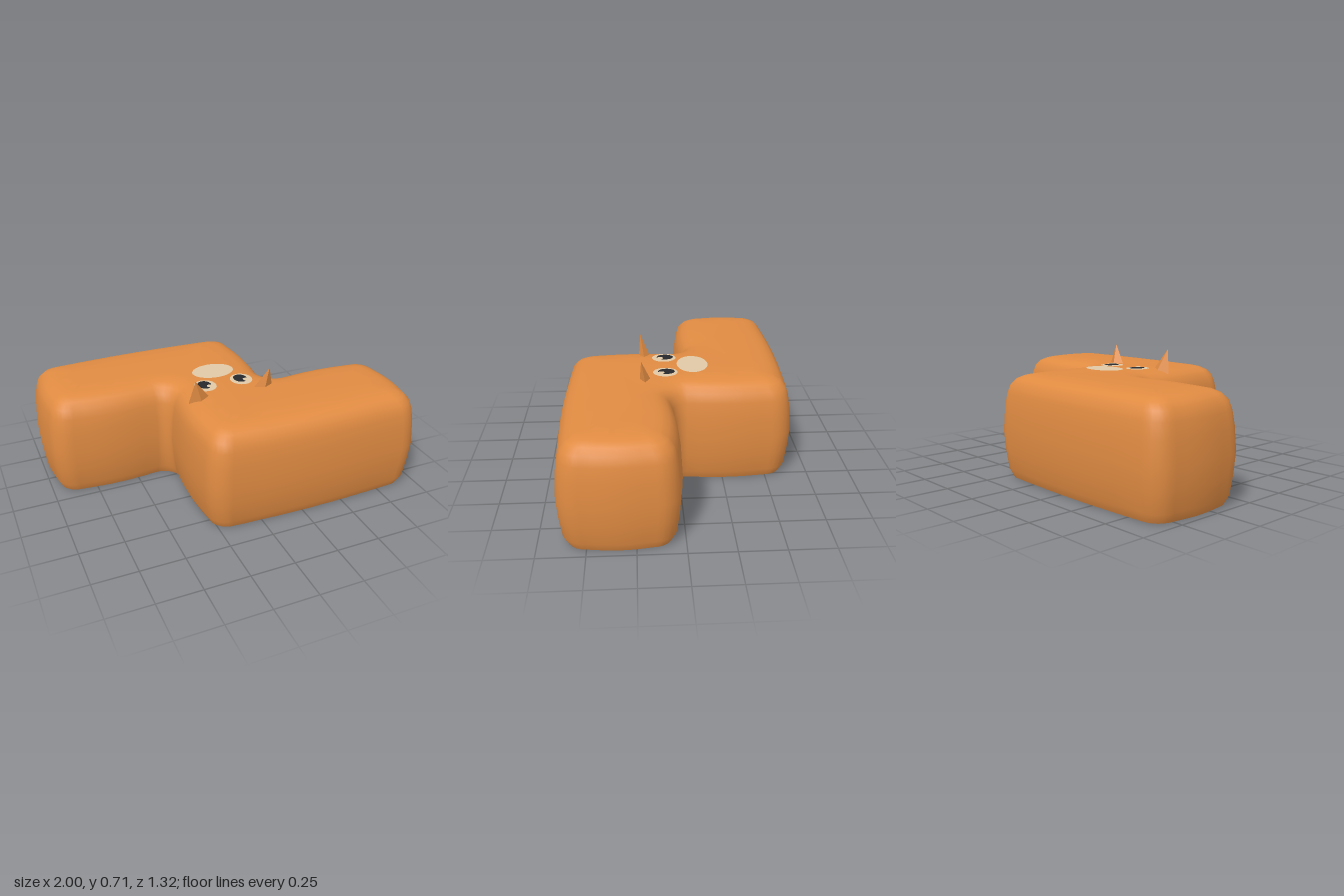
import * as THREE from 'three';

const fur = new THREE.MeshStandardMaterial({ color: 0xe08b42, side: THREE.DoubleSide });
fur.name = 'orange fur';
const cream = new THREE.MeshStandardMaterial({ color: 0xe0c8a6 });
cream.name = 'cream';
const black = new THREE.MeshStandardMaterial({ color: 0x26282b });
black.name = 'black';

// Stepped footprint as [x, z, concave]
const CORNERS = [
  [-0.985, -0.645], [0.31, -0.645], [0.31, 0.022, true], [0.985, 0.022],
  [0.985, 0.645], [-0.31, 0.645], [-0.31, -0.022, true], [-0.985, -0.022],
];
// Side profile as [inset, y]
const PROFILE = [
  [0.045, 0], [0.022, 0.05], [0.008, 0.16], [0, 0.27], [0.008, 0.4], [0.02, 0.48],
  [0.036, 0.53], [0.065, 0.563], [0.1, 0.58], [0.14, 0.589], [0.2, 0.596],
];
const ARC = 6, SIDE = 6, BULGE = 0.017;

// Footprint loop with rounded corners and gently bowed sides, moved inward by inset
function outline(inset) {
  const n = CORNERS.length;
  const dir = CORNERS.map((c, i) => {
    const e = CORNERS[(i + 1) % n];
    return new THREE.Vector2(e[0] - c[0], e[1] - c[1]).normalize();
  });
  const inward = (d) => new THREE.Vector2(-d.y, d.x);
  const arcs = CORNERS.map(([x, z, concave], i) => {
    const a = dir[(i + n - 1) % n], b = dir[i];
    const r = concave ? 0.065 + inset : Math.max(0.12 - inset * 0.5, 0.05);
    const centre = new THREE.Vector2(x, z)
      .addScaledVector(inward(a), inset).addScaledVector(inward(b), inset)
      .addScaledVector(a, -r).addScaledVector(b, r);
    return Array.from({ length: ARC + 1 }, (_, k) => {
      const t = (k / ARC) * Math.PI / 2;
      return centre.clone().addScaledVector(b, -r * Math.cos(t)).addScaledVector(a, r * Math.sin(t));
    });
  });
  const points = [];
  arcs.forEach((arc, i) => {
    points.push(...arc);
    const from = arc[ARC], to = arcs[(i + 1) % n][0];
    for (let k = 1; k < SIDE; k++) {
      const t = k / SIDE;
      points.push(from.clone().lerp(to, t).addScaledVector(inward(dir[i]), -BULGE * Math.sin(Math.PI * t)));
    }
  });
  return points;
}

// Body shell: stacked loops with a closed top and an open underside
function bodyGeometry() {
  const loops = PROFILE.map(([inset]) => outline(inset));
  const n = loops[0].length, position = [], index = [];
  loops.forEach((loop, k) => loop.forEach((p) => position.push(p.x, PROFILE[k][1], p.y)));
  for (let k = 0; k < loops.length - 1; k++) {
    for (let j = 0; j < n; j++) {
      const a = k * n + j, b = k * n + (j + 1) % n, c = b + n, d = a + n;
      index.push(a, d, c, a, c, b);
    }
  }
  const top = loops[loops.length - 1], base = (loops.length - 1) * n;
  for (const [a, b, c] of THREE.ShapeUtils.triangulateShape(top.slice(), [])) {
    const area = top[b].clone().sub(top[a]).cross(top[c].clone().sub(top[a]));
    if (area > 0) index.push(base + a, base + c, base + b);
    else index.push(base + a, base + b, base + c);
  }
  const g = new THREE.BufferGeometry();
  g.setAttribute('position', new THREE.Float32BufferAttribute(position, 3));
  g.setIndex(index);
  g.computeVertexNormals();
  return g;
}

// Flat oval lying on the top surface
function oval(name, material, x, y, z, rx, rz) {
  const m = new THREE.Mesh(new THREE.CircleGeometry(1, 28).rotateX(-Math.PI / 2).scale(rx, 1, rz), material);
  m.name = name;
  m.position.set(x, y, z);
  return m;
}

// Four-sided pointed ear whose tip leans outward and forward
function earGeometry(side) {
  const g = new THREE.ConeGeometry(1, 0.14, 4, 1, true).toNonIndexed();
  g.translate(0, 0.07, 0);
  const p = g.attributes.position;
  for (let i = 0; i < p.count; i++) {
    const t = p.getY(i) / 0.14;
    p.setXYZ(i, p.getX(i) * 0.068 + side * 0.035 * t, p.getY(i), p.getZ(i) * 0.036 + 0.025 * t);
  }
  g.computeVertexNormals();
  return g;
}

export function createModel() {
  const model = new THREE.Group();
  model.name = 'steppedAnimal';

  const body = new THREE.Mesh(bodyGeometry(), fur);
  body.name = 'body';
  model.add(body);

  model.add(oval('muzzle', cream, 0, 0.6, -0.09, 0.125, 0.09));

  for (const side of [-1, 1]) {
    const label = side > 0 ? 'left' : 'right';
    const x = side * 0.111;
    // Eye with a dark pupil and a small glint
    model.add(
      oval(label + 'Eye', cream, x, 0.598, 0.07, 0.064, 0.07),
      oval(label + 'Pupil', black, x - 0.003, 0.601, 0.064, 0.039, 0.048),
      oval(label + 'Glint', cream, x + 0.02, 0.604, 0.093, 0.018, 0.018),
    );
    const ear = new THREE.Mesh(earGeometry(side), fur);
    ear.name = label + 'Ear';
    ear.position.set(side * 0.188, 0.568, 0.182);
    model.add(ear);
  }
  return model;
}
